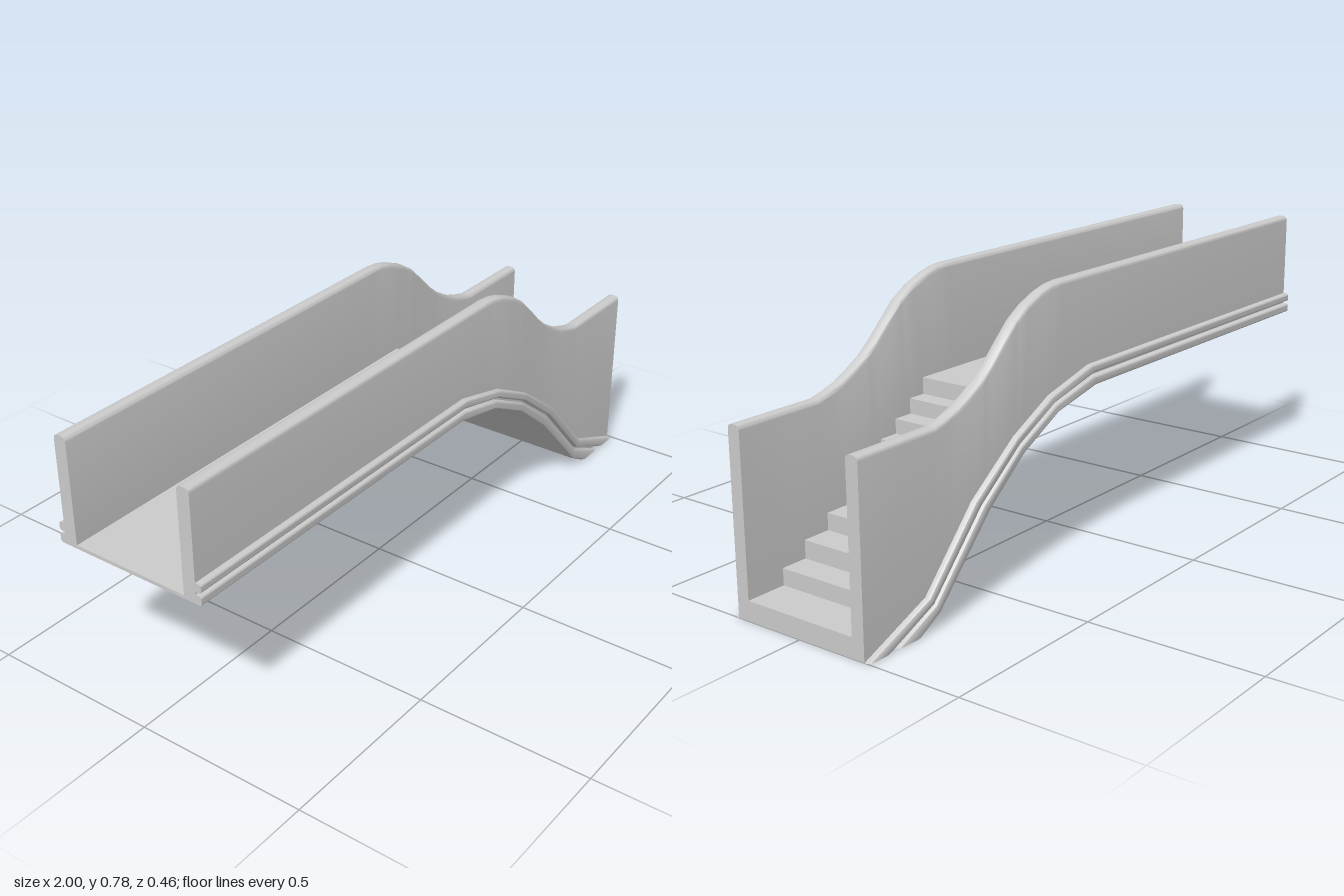
import * as THREE from 'three';
import { toCreasedNormals } from 'three/addons/utils/BufferGeometryUtils.js';

const WALL_IN = 0.175, WALL_OUT = 0.213, TRIM_OUT = 0.23;

// Side profiles as [x, y]
const wallTop = [[-1, 0.78], [0.22, 0.78], [0.26, 0.776], [0.3, 0.766], [0.36, 0.742], [0.41, 0.711], [0.46, 0.665],
  [0.51, 0.617], [0.55, 0.585], [0.6, 0.556], [0.64, 0.536], [0.69, 0.52], [0.73, 0.51], [1, 0.51]];
const trimTop = [[-1, 0.53], [0.1, 0.53], [0.28, 0.485], [0.43, 0.41], [0.6, 0.285], [0.78, 0.09], [1, 0]];
const underside = [[-1, 0.47], [0.08, 0.47], [0.25, 0.435], [0.4, 0.36], [0.54, 0.25], [0.74, 0.04], [0.81, 0]];

const material = new THREE.MeshStandardMaterial({ color: 0xcccccc });
const thinMaterial = new THREE.MeshStandardMaterial({ color: 0xcccccc, side: THREE.DoubleSide });

// Height of a profile at x
function heightAt(path, x) {
  for (let i = 1; i < path.length; i++) {
    const [x0, y0] = path[i - 1], [x1, y1] = path[i];
    if (x <= x1) return y0 + (y1 - y0) * (x - x0) / (x1 - x0);
  }
  return path[path.length - 1][1];
}

// Skin a row of matching convex rings and cap both ends; side = -1 mirrors across z
function loft(rings, side) {
  const n = rings[0].length, positions = [], index = [];
  for (const ring of rings) for (const [x, y, z] of ring) positions.push(x, y, z * side);
  const tri = (a, b, c) => (side > 0 ? index.push(a, b, c) : index.push(a, c, b));
  for (let i = 0; i < rings.length - 1; i++) {
    for (let j = 0; j < n; j++) {
      const a = i * n + j, b = i * n + (j + 1) % n;
      tri(a, b, b + n);
      tri(a, b + n, a + n);
    }
  }
  const end = (rings.length - 1) * n;
  for (let j = 1; j < n - 1; j++) {
    tri(0, j + 1, j);
    tri(end, end + j, end + j + 1);
  }
  const geometry = new THREE.BufferGeometry();
  geometry.setAttribute('position', new THREE.Float32BufferAttribute(positions, 3));
  geometry.setIndex(index);
  return toCreasedNormals(geometry, 0.5);
}

// Parapet wall with a rounded top edge
function wallGeometry(side) {
  const xs = [...new Set([...wallTop, ...underside].map((p) => p[0]))].sort((a, b) => a - b);
  const r = 0.013, steps = 4;
  const rings = xs.map((x) => {
    const top = heightAt(wallTop, x), bottom = heightAt(underside, x);
    const ring = [[x, bottom, WALL_IN]];
    for (const [centre, start] of [[WALL_IN + r, Math.PI], [WALL_OUT - r, Math.PI / 2]]) {
      for (let k = 0; k <= steps; k++) {
        const a = start - k / steps * Math.PI / 2;
        ring.push([x, top - r + r * Math.sin(a), centre + r * Math.cos(a)]);
      }
    }
    ring.push([x, bottom, WALL_OUT]);
    return ring;
  });
  return loft(rings, side);
}

// Moulding between fractions t0 and t1 of the strip from trimTop to underside
function trimGeometry(t0, t1, side) {
  const section = [[t0, 0.205], [t0, 0.222], [t0 + 0.04, 0.228], [t0 + 0.1, TRIM_OUT],
    [t1 - 0.1, TRIM_OUT], [t1 - 0.04, 0.228], [t1, 0.222], [t1, 0.205]];
  const rings = trimTop.map(([xa, ya], i) => {
    const [xb, yb] = underside[i];
    return section.map(([t, z]) => [xa + (xb - xa) * t, ya + (yb - ya) * t, z]);
  });
  return loft(rings, side);
}

// Thin sheet following a side profile across the width
function sheetGeometry(path, halfWidth) {
  const positions = [];
  for (let i = 1; i < path.length; i++) {
    const [x0, y0] = path[i - 1], [x1, y1] = path[i], w = halfWidth;
    positions.push(x0, y0, -w, x0, y0, w, x1, y1, w, x0, y0, -w, x1, y1, w, x1, y1, -w);
  }
  const geometry = new THREE.BufferGeometry();
  geometry.setAttribute('position', new THREE.Float32BufferAttribute(positions, 3));
  geometry.computeVertexNormals();
  return geometry;
}

export function createModel() {
  const group = new THREE.Group();
  group.name = 'steppedBridge';
  const add = (name, geometry, mat = material) => {
    const mesh = new THREE.Mesh(geometry, mat);
    mesh.name = name;
    group.add(mesh);
  };

  // Deck running into nine steps
  const stepX = [0.33, 0.385, 0.445, 0.505, 0.565, 0.63, 0.715, 0.8, 0.88];
  const treadY = [0.48, 0.433, 0.39, 0.348, 0.302, 0.251, 0.202, 0.154, 0.103, 0.056];
  const deck = [[-1, 0.47], [-1, 0.48]];
  stepX.forEach((x, i) => deck.push([x, treadY[i]], [x, treadY[i + 1]]));
  deck.push([1, 0.056], [1, 0]);
  deck.reverse();
  add('deckAndSteps', sheetGeometry(deck, 0.177), thinMaterial);

  // Curved soffit below the deck
  add('soffit', sheetGeometry(underside, 0.177), thinMaterial);

  // Walls and double mouldings on both sides
  for (const [label, side] of [['front', 1], ['back', -1]]) {
    add(label + 'Wall', wallGeometry(side));
    add(label + 'UpperTrim', trimGeometry(0, 0.42, side));
    add(label + 'LowerTrim', trimGeometry(0.54, 1, side));
  }
  return group;
}
